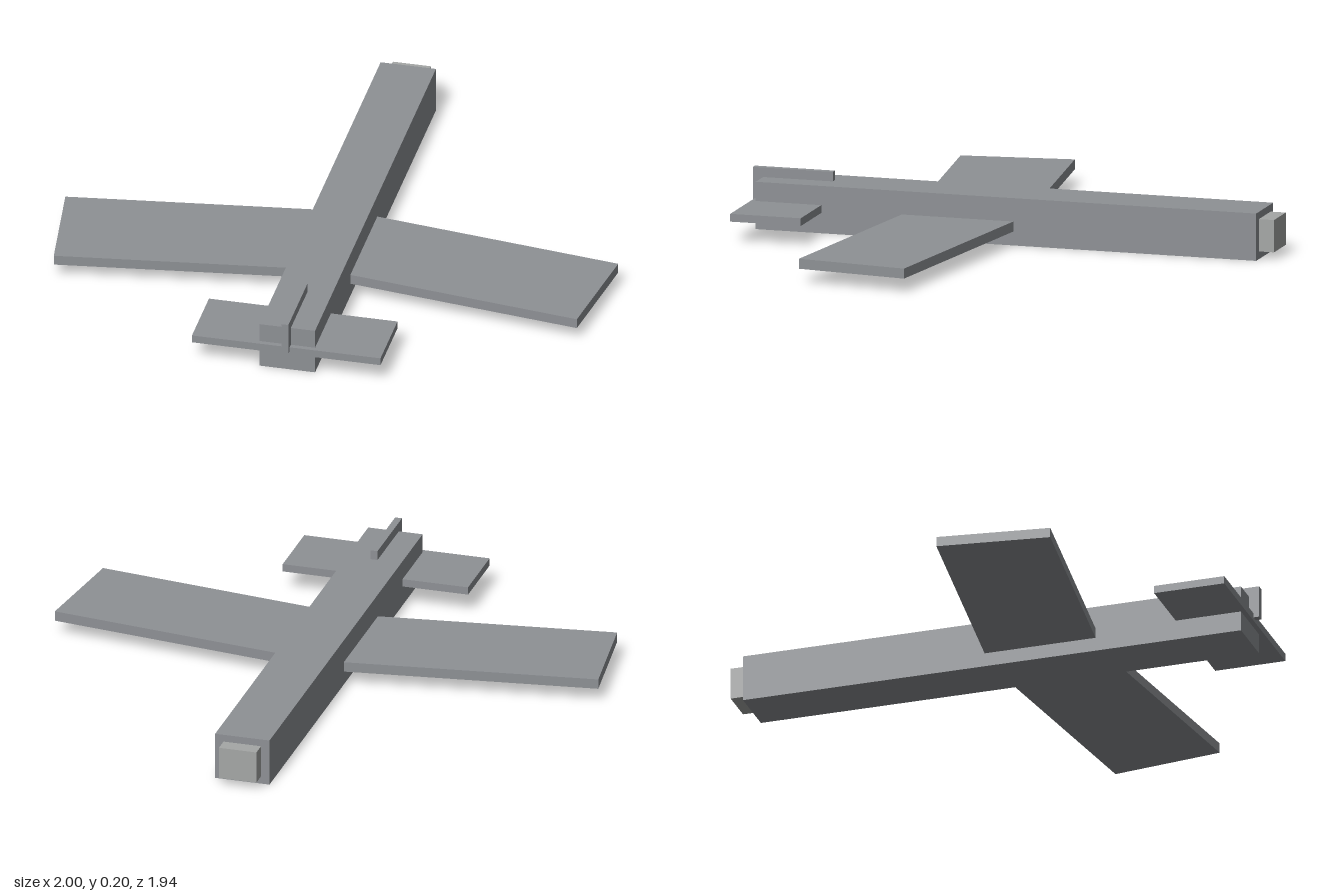
import * as THREE from 'three';

const paint = new THREE.MeshStandardMaterial({ color: 0x8e9195 });
const nosePaint = new THREE.MeshStandardMaterial({ color: 0xa5a7a6 });

export function createModel() {
  const model = new THREE.Group();
  model.name = 'airplane';

  // Adds a box spanning the given min/max corners
  const add = (name, min, max, material = paint) => {
    const size = max.map((v, i) => v - min[i]);
    const mesh = new THREE.Mesh(new THREE.BoxGeometry(...size), material);
    mesh.name = name;
    mesh.position.set(...max.map((v, i) => (v + min[i]) / 2));
    model.add(mesh);
  };

  // Body, nose block and tail surfaces
  add('fuselage', [-0.1, 0, -0.915], [0.1, 0.17, 0.932]);
  add('noseBlock', [-0.069, 0.028, -0.971], [0.069, 0.144, -0.9], nosePaint);
  add('tailplane', [-0.341, 0.073, 0.69], [0.341, 0.101, 0.95]);
  add('tailFin', [-0.0125, 0.086, 0.675], [0.0125, 0.204, 0.97]);

  // Swept slab wings, each turned about its leading root corner
  const length = 0.917, chord = 0.408, sweep = Math.atan2(0.12, 0.9);
  for (const side of [1, -1]) {
    const geometry = new THREE.BoxGeometry(length, 0.036, chord);
    geometry.translate(side * length / 2, 0, chord / 2);
    const wing = new THREE.Mesh(geometry, paint);
    wing.name = side > 0 ? 'leftWing' : 'rightWing';
    wing.position.set(side * 0.091, 0.068, -0.02);
    wing.rotation.y = -side * sweep;
    model.add(wing);
  }
  return model;
}
